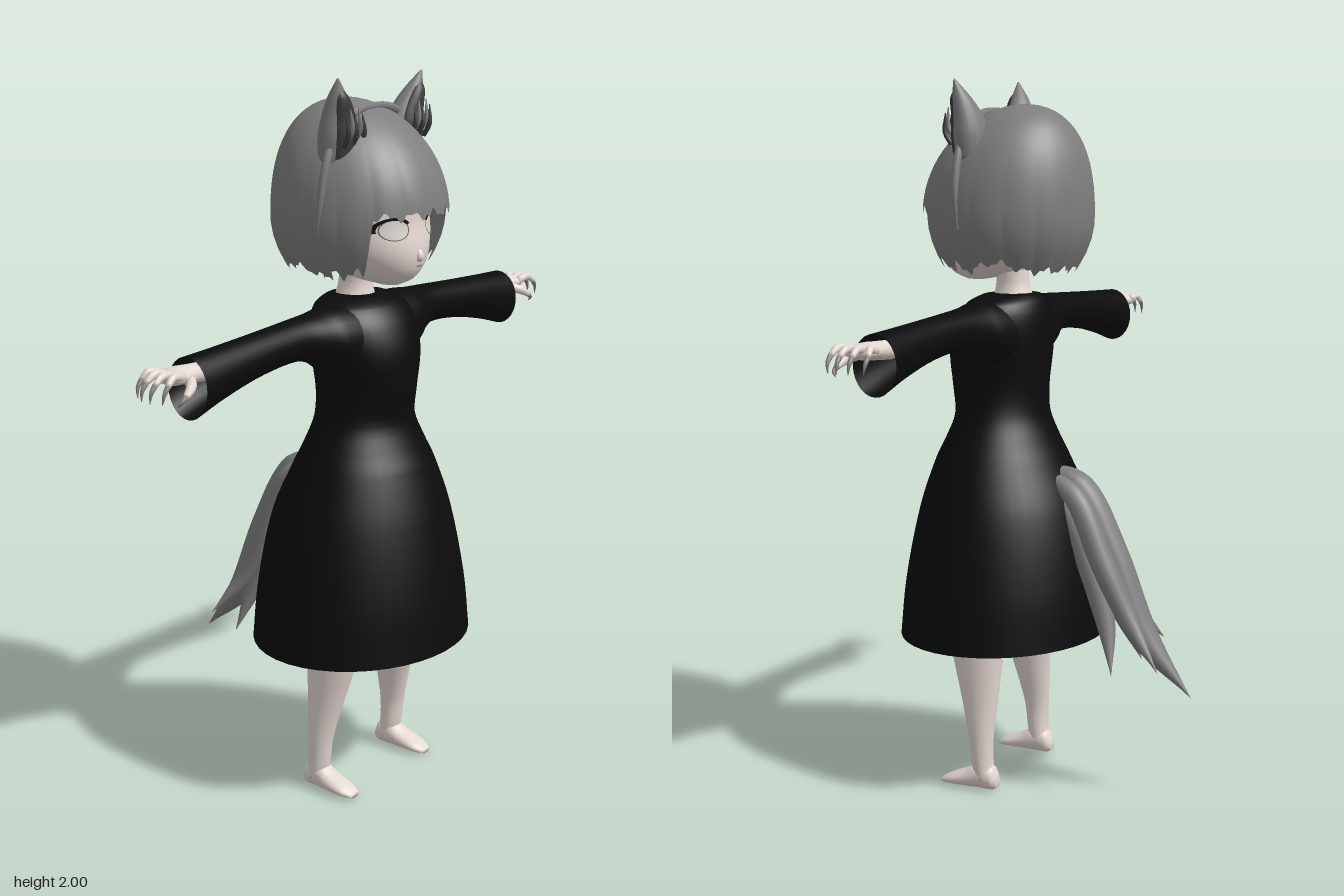
import * as THREE from 'three';

const mat = (name, color, side = THREE.FrontSide) => {
  const m = new THREE.MeshStandardMaterial({ color, side });
  m.name = name;
  return m;
};

// Skin a list of closed loops (counter-clockwise about the travel direction)
function loft(rings, capped = true) {
  const n = rings[0].length, pos = [], idx = [];
  rings.forEach(r => r.forEach(p => pos.push(p.x, p.y, p.z)));
  for (let i = 0; i < rings.length - 1; i++) for (let j = 0; j < n; j++) {
    const a = i * n + j, b = i * n + (j + 1) % n;
    idx.push(a, b, a + n, b, b + n, a + n);
  }
  if (capped) [0, rings.length - 1].forEach((k, end) => {
    const c = rings[k].reduce((s, p) => s.add(p), new THREE.Vector3()).divideScalar(n);
    const ci = pos.length / 3;
    pos.push(c.x, c.y, c.z);
    for (let j = 0; j < n; j++) {
      const a = k * n + j, b = k * n + (j + 1) % n;
      end ? idx.push(ci, a, b) : idx.push(ci, b, a);
    }
  });
  return surface(pos, idx);
}

function surface(pos, idx) {
  const g = new THREE.BufferGeometry();
  g.setAttribute('position', new THREE.Float32BufferAttribute(pos, 3));
  g.setIndex(idx);
  g.computeVertexNormals();
  return g;
}

// Smooth interpolation of table rows keyed by their first column
function at(table, v) {
  let i = 0;
  while (i < table.length - 2 && v > table[i + 1][0]) i++;
  const slope = (k, c) => {
    const a = table[Math.max(k - 1, 0)], b = table[Math.min(k + 1, table.length - 1)];
    return (b[c] - a[c]) / (b[0] - a[0]);
  };
  const p = table[i], q = table[i + 1], h = q[0] - p[0], t = (v - p[0]) / h;
  return p.map((_, c) => (2 * t ** 3 - 3 * t * t + 1) * p[c] + (t ** 3 - 2 * t * t + t) * h * slope(i, c)
    + (3 * t * t - 2 * t ** 3) * q[c] + (t ** 3 - t * t) * h * slope(i + 1, c));
}

// Ellipses stacked on an axis (0 x, 1 y, 2 z); rows: position, two centres, two radii in cyclic axis order
function stack(table, axis, { n = 28, sub = 4, capped = true } = {}) {
  const rings = [];
  for (let i = 0; i < table.length - 1; i++) for (let k = 0; k < sub + (i === table.length - 2); k++) {
    const [v, c1, c2, r1, r2] = at(table, table[i][0] + (table[i + 1][0] - table[i][0]) * k / sub);
    rings.push(Array.from({ length: n }, (_, j) => {
      const a = j / n * Math.PI * 2, p = [];
      p[axis] = v;
      p[(axis + 1) % 3] = c1 + Math.cos(a) * r1;
      p[(axis + 2) % 3] = c2 + Math.sin(a) * r2;
      return new THREE.Vector3(...p);
    }));
  }
  return loft(rings, capped);
}

// Tube of changing radius along a smooth path
function strand(points, radii, { n = 10, steps = 16, flat = 1, hint = [0, 0, -1] } = {}) {
  const path = new THREE.CatmullRomCurve3(points.map(p => new THREE.Vector3(...p)));
  const size = new THREE.CatmullRomCurve3(radii.map((r, i) => new THREE.Vector3(r, i, 0)));
  const rings = [];
  for (let i = 0; i <= steps; i++) {
    const t = path.getTangent(i / steps), c = path.getPoint(i / steps);
    const s = new THREE.Vector3(...hint).cross(t).normalize(), u = t.clone().cross(s);
    const r = Math.max(size.getPoint(i / steps).x, 0.0008);
    rings.push(Array.from({ length: n }, (_, j) => {
      const a = j / n * Math.PI * 2;
      return c.clone().addScaledVector(s, Math.cos(a) * r).addScaledVector(u, Math.sin(a) * r * flat);
    }));
  }
  return loft(rings);
}

function flipX(geo) {
  const g = geo.clone().scale(-1, 1, 1), ix = g.index.array;
  for (let i = 0; i < ix.length; i += 3) [ix[i], ix[i + 1]] = [ix[i + 1], ix[i]];
  g.computeVertexNormals();
  return g;
}

// Hair volume: point at an angle (0 = front) and height
function hairPoint(a, y, scale) {
  const up = Math.max((y - 1.63) / 0.305, 0), down = Math.max((1.63 - y) / 0.16, 0);
  const f = (up > 0 ? Math.sqrt(Math.max(1 - up ** 2.2, 0)) : 1 - 0.24 * down * down) * scale;
  return [Math.sin(a) * 0.233 * f, y, 0.13 - 0.05 * up * up + Math.cos(a) * 0.238 * f];
}

function hairShell(a0, a1, scale, bottom, cols = 160, rows = 18) {
  const pos = [], idx = [], w = cols + 1;
  for (let r = 0; r <= rows; r++) for (let c = 0; c <= cols; c++) {
    const a = a0 + (a1 - a0) * c / cols, t = r / rows;
    const groove = 1 + 0.02 * Math.abs(Math.sin(a * 8)) * t ** 3;
    pos.push(...hairPoint(a, 1.935 - (1.935 - bottom(a)) * t ** 1.7, scale * groove));
    if (r < rows && c < cols) {
      const A = r * w + c, C = A + w;
      idx.push(C, C + 1, A, C + 1, A + 1, A);
    }
  }
  return surface(pos, idx);
}

export function createModel() {
  const model = new THREE.Group();
  model.name = 'catEaredGirl';
  const skin = mat('skin', 0xe3d7d2), hair = mat('hair', 0x7e7e7e, THREE.DoubleSide);
  const dress = mat('dress', 0x0b0b0b, THREE.DoubleSide), innerEar = mat('innerEar', 0x3c3a3a);
  const claw = mat('claw', 0x8a8280), lash = mat('lash', 0x0d0d0d, THREE.DoubleSide);
  const eye = mat('eye', 0xdcd6d0), lip = mat('lip', 0xa08c88), line = mat('eyeOutline', 0x6a6462);
  const add = (name, geo, m) => {
    const mesh = new THREE.Mesh(geo, m);
    mesh.name = name;
    model.add(mesh);
  };
  const pair = (name, geo, m) => {
    add(name + 'Left', geo, m);
    add(name + 'Right', flipX(geo), m);
  };

  // Dress body and flared sleeves
  add('dressBody', stack([
    [0.435, 0.15, 0, 0.29, 0.34], [0.6, 0.148, 0, 0.277, 0.318], [0.8, 0.148, 0, 0.238, 0.272],
    [0.94, 0.155, 0, 0.185, 0.217], [1.0, 0.155, 0, 0.156, 0.188], [1.07, 0.155, 0, 0.131, 0.156],
    [1.15, 0.16, 0, 0.135, 0.148], [1.25, 0.158, 0, 0.142, 0.165], [1.33, 0.148, 0, 0.132, 0.172],
    [1.385, 0.135, 0, 0.108, 0.15], [1.408, 0.125, 0, 0.078, 0.1], [1.413, 0.12, 0, 0.056, 0.056],
  ], 1, { n: 40, capped: false }), dress);
  pair('sleeve', stack([
    [0.08, 1.3, 0.145, 0.1, 0.105], [0.17, 1.31, 0.145, 0.088, 0.09], [0.22, 1.322, 0.143, 0.07, 0.074],
    [0.3, 1.331, 0.14, 0.056, 0.058], [0.45, 1.322, 0.14, 0.056, 0.054], [0.6, 1.303, 0.139, 0.067, 0.058],
    [0.71, 1.285, 0.138, 0.08, 0.064],
  ], 0, { capped: false }), dress);

  // Head and neck
  const face = [
    [1.448, 0.235, 0, 0.03, 0.025], [1.465, 0.21, 0, 0.09, 0.07], [1.5, 0.18, 0, 0.145, 0.122],
    [1.55, 0.155, 0, 0.177, 0.162], [1.62, 0.14, 0, 0.18, 0.185], [1.7, 0.13, 0, 0.19, 0.19],
    [1.8, 0.12, 0, 0.165, 0.165], [1.87, 0.12, 0, 0.09, 0.09],
  ];
  add('head', stack(face, 1, { n: 40 }), skin);
  add('nose', strand([[0, 1.56, 0.32], [0, 1.53, 0.331], [0, 1.518, 0.318]], [0.003, 0.012, 0.003]), skin);
  add('neck', stack([[1.36, 0.118, 0, 0.07, 0.08], [1.41, 0.12, 0, 0.054, 0.054],
    [1.45, 0.122, 0, 0.047, 0.045], [1.52, 0.13, 0, 0.05, 0.05]], 1), skin);

  // Painted face details wrapped onto the head
  const wrap = (geo, cx, cy, sx, sy, lift) => {
    const p = geo.attributes.position;
    for (let i = 0; i < p.count; i++) {
      const x = cx + p.getX(i) * sx, y = cy + p.getY(i) * sy, [, cz, , rz, rx] = at(face, y);
      p.setXYZ(i, x, y, cz + rz * Math.sqrt(Math.max(1 - (x / rx) ** 2, 0)) + lift);
    }
    geo.computeVertexNormals();
    return geo;
  };
  pair('eye', wrap(new THREE.RingGeometry(0.001, 1, 28, 4), 0.08, 1.609, 0.041, 0.028, 0.003), eye);
  pair('eyeOutline', wrap(new THREE.RingGeometry(0.92, 1, 28, 1), 0.08, 1.609, 0.042, 0.029, 0.005), line);
  pair('upperLash', wrap(new THREE.RingGeometry(0.86, 1.12, 24, 1, -0.25, 2.9), 0.084, 1.609, 0.049, 0.029, 0.006), lash);
  add('mouth', wrap(new THREE.RingGeometry(0.001, 1, 12, 1), 0, 1.506, 0.015, 0.003, 0.004), lip);

  // Bob hair: fringe with side locks, and the back
  const tooth = (a, k) => Math.abs((((a * k) % 1) + 1) % 1 * 2 - 1);
  const jag = a => tooth(a, 3.1) * 0.022 + tooth(a + 0.4, 7.3) * 0.012;
  add('fringe', hairShell(-1.42, 1.42, 1.015, a => {
    const side = THREE.MathUtils.smoothstep(Math.abs(a), 0.78, 0.88);
    return 1.632 - 0.16 * side + jag(a) * (1 + side * 0.4);
  }), hair);
  add('backHair', hairShell(1.3, Math.PI * 2 - 1.3, 1, a => {
    const side = 1 - THREE.MathUtils.smoothstep(Math.abs(Math.abs(a - Math.PI) - 1.3), 0, 0.5);
    return 1.468 + 0.025 * side + jag(a) * 0.9;
  }), hair);
  add('hairBand', strand([[-0.232, 1.6, 0.17], [-0.226, 1.72, 0.178], [-0.19, 1.825, 0.18], [-0.1, 1.9, 0.178],
    [0, 1.916, 0.176], [0.1, 1.9, 0.178], [0.19, 1.825, 0.18], [0.226, 1.72, 0.178], [0.232, 1.6, 0.17]],
  [0.004, 0.01, 0.012, 0.012, 0.01, 0.012, 0.012, 0.01, 0.004], { steps: 40 }), hair);

  // Cat ears with dark insides and fur tufts
  const ear = [
    [1.78, 0.165, 0.152, 0.042, 0.05], [1.85, 0.17, 0.147, 0.046, 0.063], [1.9, 0.175, 0.154, 0.038, 0.052],
    [1.95, 0.186, 0.17, 0.025, 0.03], [2.0, 0.2, 0.187, 0.002, 0.003],
  ];
  pair('ear', stack(ear, 1, { n: 20 }), hair);
  pair('earInside', stack(ear.slice(0, 4).concat([[1.975, 0.194, 0.178, 0.004, 0.006]])
    .map(([y, z, x, rz, rx]) => [y, z + 0.32 * rz + 0.005, x, rz * 0.78, rx * 0.76]), 1, { n: 20 }), innerEar);
  for (let i = 0; i < 5; i++) {
    const x = 0.112 + i * 0.017, y = 1.86 + (i % 2) * 0.015;
    pair('earTuft' + i, strand([[x, y - 0.035, 0.215], [x + 0.003, y, 0.232], [x + 0.008, y + 0.05, 0.228]],
      [0.006, 0.007, 0.001], { n: 6, steps: 6 }), i % 2 ? hair : innerEar);
  }

  // Hands with curled, clawed fingers
  pair('palm', stack([[0.64, 1.318, 0.14, 0.025, 0.03], [0.7, 1.322, 0.14, 0.024, 0.031],
    [0.75, 1.326, 0.138, 0.022, 0.042], [0.78, 1.325, 0.137, 0.017, 0.046], [0.793, 1.324, 0.137, 0.006, 0.036]], 0), skin);
  for (let i = 0; i < 4; i++) {
    const s = i - 1.5, z = 0.137 + s * 0.024, reach = [-0.02, 0, 0.004, -0.006][i], o = { n: 8, steps: 8, hint: [0, 0, 1] };
    const k1 = [0.812 + reach * 0.6, 1.338, z + s * 0.005], k2 = [0.838 + reach, 1.322, z + s * 0.009];
    pair('finger' + i, strand([[0.765, 1.33, z], k1, k2], [0.012, 0.0105, 0.007], o), skin);
    pair('claw' + i, strand([k2, [0.852 + reach, 1.304, z + s * 0.009], [0.856 + reach, 1.28, z + s * 0.007]],
      [0.0072, 0.005, 0.001], o), claw);
  }
  pair('thumb', strand([[0.725, 1.318, 0.16], [0.755, 1.305, 0.19], [0.785, 1.288, 0.2]], [0.014, 0.013, 0.008], { hint: [0, 1, 0] }), skin);
  pair('thumbClaw', strand([[0.785, 1.288, 0.2], [0.8, 1.277, 0.199], [0.805, 1.265, 0.19]], [0.008, 0.005, 0.001], { hint: [0, 0, 1], steps: 6 }), claw);

  // Legs, feet and hips
  pair('leg', stack([
    [0.03, 0.125, 0.175, 0.03, 0.033], [0.08, 0.133, 0.176, 0.031, 0.034], [0.15, 0.137, 0.176, 0.036, 0.035],
    [0.25, 0.145, 0.166, 0.052, 0.043], [0.43, 0.161, 0.147, 0.083, 0.06], [0.6, 0.16, 0.115, 0.09, 0.082],
    [0.8, 0.155, 0.085, 0.095, 0.085],
  ], 1), skin);
  pair('foot', stack([
    [0.085, 0.175, 0.022, 0.014, 0.015], [0.1, 0.175, 0.034, 0.029, 0.034], [0.14, 0.175, 0.038, 0.034, 0.038],
    [0.18, 0.177, 0.027, 0.036, 0.027], [0.23, 0.178, 0.017, 0.034, 0.016], [0.26, 0.178, 0.009, 0.02, 0.008],
  ], 2), skin);
  add('hips', new THREE.SphereGeometry(0.13, 24, 16).translate(0, 0.82, 0.155), skin);

  // Bushy tail made of pointed locks
  [
    [[0, 0.91, 0], [0, 0.87, -0.09], [0, 0.69, -0.19], [0, 0.47, -0.285], [0, 0.3, -0.434]],
    [[-0.03, 0.9, 0], [-0.04, 0.85, -0.085], [-0.05, 0.67, -0.165], [-0.07, 0.53, -0.225], [-0.147, 0.42, -0.29]],
    [[0.03, 0.9, 0], [0.045, 0.85, -0.095], [0.06, 0.67, -0.19], [0.062, 0.52, -0.27], [0.1, 0.39, -0.375]],
    [[0.02, 0.88, 0], [0.035, 0.81, -0.07], [0.045, 0.65, -0.145], [0.06, 0.5, -0.2], [0.12, 0.37, -0.245]],
    [[-0.02, 0.88, 0], [-0.025, 0.81, -0.07], [-0.03, 0.65, -0.145], [-0.05, 0.5, -0.205], [-0.1, 0.36, -0.24]],
  ].forEach((p, i) => add('tailLock' + i, strand(p, i ? [0.02, 0.036, 0.038, 0.03, 0] : [0.025, 0.045, 0.05, 0.046, 0],
    { n: 14, steps: 24, flat: 0.9 }), hair));
  return model;
}
